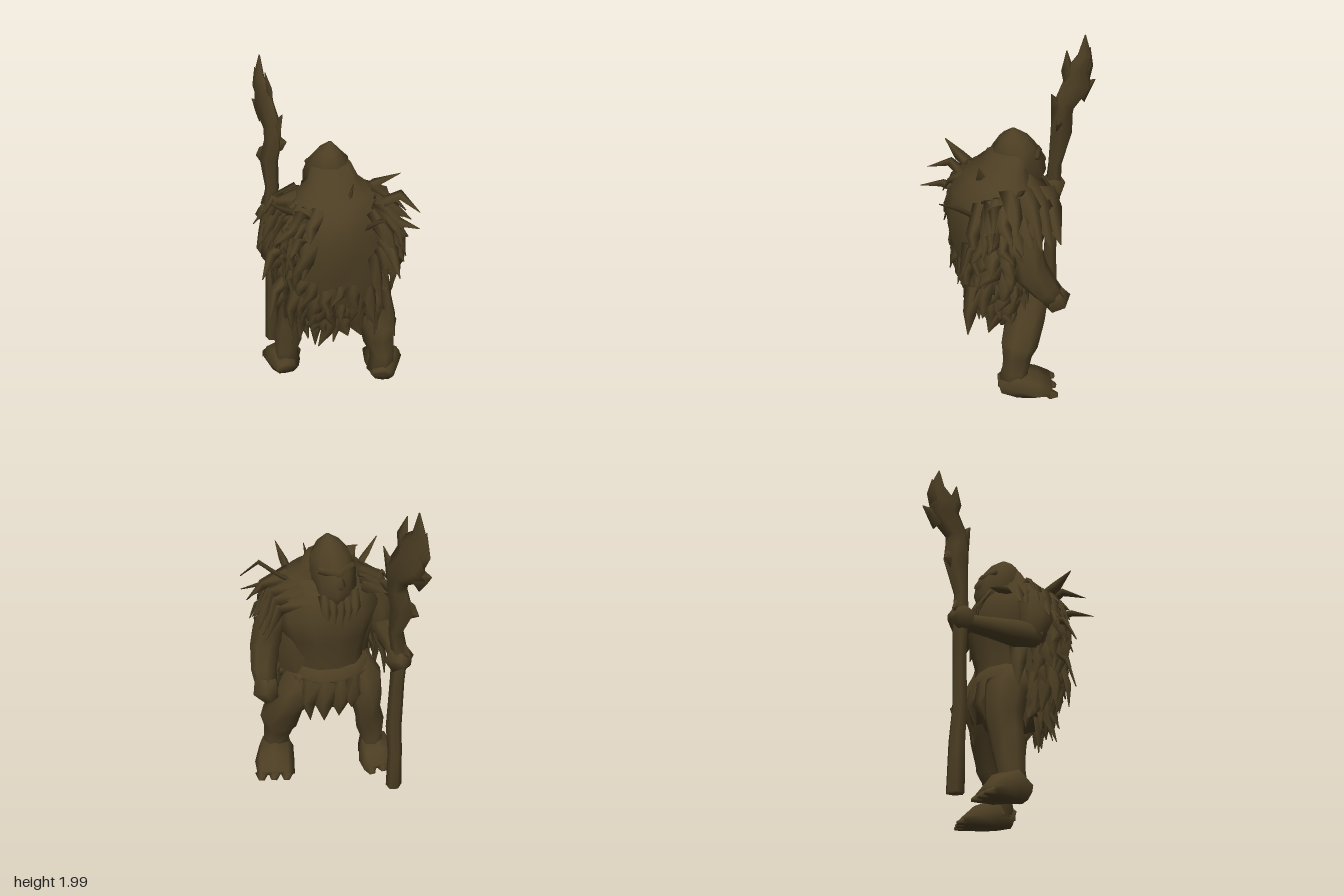
import * as THREE from 'three';

const hide = new THREE.MeshStandardMaterial({ color: 0x4c3e23, side: THREE.DoubleSide });
hide.name = 'dark brown hide';

let seed = 7;
const rnd = () => (seed = (seed * 16807) % 2147483647) / 2147483647;
const V = (x, y, z) => new THREE.Vector3(x, y, z);

// The figure is turned 45 degrees: l runs to its left, b to its back
const S = Math.SQRT1_2;
const W = (l, y, b, ...radii) => [(l + b) * S, y, (b - l) * S, ...radii];
const LEFT = V(S, 0, -S), BACK = V(S, 0, S), UP = V(0, 1, 0);
const outward = a => LEFT.clone().multiplyScalar(Math.cos(a)).addScaledVector(BACK, Math.sin(a));

// Lofted limb through [x, y, z, radiusU, radiusV] sections; level rings stay horizontal
function limb(name, pts, { sides = 8, ref = V(0, 0, 1), rough = 0.18, level = false } = {}) {
  const pos = [], idx = [];
  const P = pts.map(p => V(p[0], p[1], p[2]));
  const put = v => pos.push(v.x, Math.max(0.01, v.y), v.z);
  pts.forEach((p, i) => {
    const t = P[Math.min(i + 1, P.length - 1)].clone().sub(P[Math.max(i - 1, 0)]).normalize();
    const u = level ? LEFT : t.clone().cross(ref).normalize();
    const v = level ? BACK : u.clone().cross(t);
    for (let j = 0; j < sides; j++) {
      const a = j / sides * Math.PI * 2, k = 1 + (rnd() - 0.5) * rough;
      put(P[i].clone().addScaledVector(u, Math.cos(a) * p[3] * k)
        .addScaledVector(v, Math.sin(a) * (p[4] ?? p[3]) * k));
    }
  });
  const n = pts.length, first = n * sides, last = first + 1;
  put(P[0]);
  put(P[n - 1]);
  for (let j = 0; j < sides; j++) {
    const k = (j + 1) % sides;
    for (let i = 0; i < n - 1; i++) {
      const a = i * sides + j, b = i * sides + k;
      idx.push(a, a + sides, b, b, a + sides, b + sides);
    }
    idx.push(first, j, k, last, (n - 1) * sides + k, (n - 1) * sides + j);
  }
  const g = new THREE.BufferGeometry();
  g.setAttribute('position', new THREE.Float32BufferAttribute(pos, 3));
  g.setIndex(idx);
  g.computeVertexNormals();
  const m = new THREE.Mesh(g, hide);
  m.name = name;
  return m;
}

// Bent flat spike from base to tip
function shard(name, base, mid, tip, width, ref) {
  return limb(name, [[...base, width, width * 0.35], [...mid, width * 0.8, width * 0.3], [...tip, 0.003, 0.003]],
    { sides: 4, ref, rough: 0.3 });
}

export function createModel() {
  const model = new THREE.Group();
  model.name = 'cloakedBrute';

  // Body and head
  model.add(limb('torso', [
    W(0.11, 0.52, 0.03, 0.13, 0.12), W(0.11, 0.62, 0.03, 0.2, 0.17), W(0.1, 0.75, 0.02, 0.22, 0.19),
    W(0.1, 0.9, 0.03, 0.23, 0.19), W(0.1, 1.05, 0.02, 0.27, 0.22), W(0.1, 1.2, 0.03, 0.31, 0.23),
    W(0.1, 1.32, 0.05, 0.28, 0.2), W(0.1, 1.41, 0.05, 0.17, 0.14)], { sides: 12, rough: 0.16, level: true }));
  model.add(limb('head', [
    W(0.09, 1.27, -0.1, 0.07, 0.07), W(0.09, 1.36, -0.05, 0.13, 0.14), W(0.09, 1.46, -0.02, 0.13, 0.15),
    W(0.09, 1.55, -0.01, 0.115, 0.125), W(0.09, 1.61, 0, 0.07, 0.075), W(0.1, 1.66, 0.005, 0.01, 0.01)],
  { sides: 9, level: true }));
  model.add(limb('brow', [W(0.19, 1.5, -0.1, 0.02), W(0.09, 1.48, -0.15, 0.03), W(-0.01, 1.5, -0.1, 0.02)], { sides: 5, ref: UP }));
  model.add(limb('nose', [W(0.09, 1.48, -0.15, 0.02), W(0.09, 1.42, -0.18, 0.03), W(0.09, 1.39, -0.15, 0.02)], { sides: 5, ref: BACK }));
  for (let i = -2; i <= 2; i++) {
    model.add(shard('beardLock', W(0.09 + i * 0.045, 1.36, -0.14), W(0.09 + i * 0.045, 1.27, -0.19),
      W(0.09 + i * 0.04, 1.16 + 0.03 * Math.abs(i), -0.2), 0.035, BACK));
  }

  // Hide cloak over the hunched back, rising to a hood at the nape
  const shell = [
    [0.1, 0.57, 0.11, 0.25, 0.17], [0.1, 0.7, 0.12, 0.29, 0.21], [0.1, 0.88, 0.13, 0.32, 0.235],
    [0.1, 1.04, 0.13, 0.34, 0.245], [0.1, 1.2, 0.13, 0.345, 0.245], [0.1, 1.32, 0.12, 0.3, 0.225],
    [0.1, 1.4, 0.1, 0.22, 0.17], [0.1, 1.46, 0.06, 0.145, 0.12], [0.1, 1.54, 0.03, 0.11, 0.1]];
  model.add(limb('cloak', shell.map(s => W(...s)), { sides: 16, rough: 0.14, level: true }));
  const onCloak = (y, a, k) => {
    let i = 0;
    while (i < shell.length - 2 && shell[i + 1][1] < y) i++;
    const s = shell[i], e = shell[i + 1];
    const f = THREE.MathUtils.clamp((y - s[1]) / (e[1] - s[1]), 0, 1);
    const c = s.map((q, n) => q + (e[n] - q) * f);
    return W(c[0] + Math.cos(a) * c[3] * k, y, c[2] + Math.sin(a) * c[4] * k);
  };
  // Fur tufts: thick along both sides and the hem, bare in the middle of the back
  [0.68, 0.78, 0.88, 1.0, 1.12, 1.24, 1.36].forEach((y0, row) => {
    for (let i = 0; i < 20; i++) {
      const a = -0.3 + (i + rnd() * 0.7) / 20 * 3.75;
      if (row > 2 && Math.abs(Math.cos(a)) < 0.55) continue;
      const y = y0 + (rnd() - 0.5) * 0.08, len = 0.12 + rnd() * 0.14;
      const flare = a > 0.1 && a < 1 ? 0.12 : 0;
      const base = onCloak(y, a, 0.95), mid = onCloak(y - len * 0.5, a, 1.07 + flare);
      const tip = onCloak(y - len, a + (rnd() - 0.5) * 0.4, 1.06 + rnd() * 0.18 + flare);
      model.add(shard('furTuft', base, mid, tip, 0.03 + rnd() * 0.035, outward(a)));
    }
  });
  // Long hem tatters
  [[0.1, 0.36, 0.14], [0.02, 0.46, 0.18], [0.2, 0.47, 0.16], [-0.1, 0.53, 0.18], [0.3, 0.5, 0.08],
    [0.58, 0.54, 0.02], [0.46, 0.62, 0.06], [0.52, 0.64, -0.05], [0.5, 0.78, 0.06], [-0.22, 0.66, 0.12],
    [0.38, 0.55, -0.02], [0.05, 0.6, 0.34], [-0.08, 0.56, 0.3], [0.16, 0.53, 0.22]].forEach(([x, y, z]) => {
    const bx = 0.13 + (x - 0.13) * 0.82;
    model.add(shard('hemTatter', [bx, y + 0.3, z * 0.85], [x * 0.95, y + 0.14, z], [x, y, z], 0.055, V(x - 0.12, 0, z + 0.01)));
  });
  // Shaggy shoulder pads
  for (const s of [-1, 1]) for (let i = 0; i < 5; i++) {
    const b = -0.08 + i * 0.06, y = 1.38 - Math.abs(i - 2) * 0.02;
    model.add(shard('shoulderPad', W(0.1 + s * 0.17, y, b), W(0.1 + s * 0.32, y - 0.05, b),
      W(0.1 + s * (0.39 + rnd() * 0.06), y - 0.2 - rnd() * 0.08, b - 0.02), 0.085, V(s * S * 0.6, 0.8, -s * S * 0.6)));
  }

  // Curved quills on the shoulders and back: base, bend, tip
  [[[0.34, 1.3, -0.08], [0.5, 1.41, -0.12], [0.61, 1.31, -0.16]],
    [[0.38, 1.27, -0.05], [0.5, 1.25, -0.1], [0.62, 1.21, -0.15]],
    [[0.24, 1.33, -0.12], [0.3, 1.4, -0.2], [0.44, 1.48, -0.24]],
    [[0.22, 1.36, 0.0], [0.27, 1.41, 0.05], [0.29, 1.5, 0.05]],
    [[0.36, 1.22, 0.03], [0.46, 1.33, 0.1], [0.55, 1.4, 0.17]],
    [[0.08, 1.28, 0.2], [0.11, 1.39, 0.31], [0.12, 1.33, 0.45]],
    [[0.1, 1.2, 0.25], [0.12, 1.24, 0.36], [0.15, 1.21, 0.49]],
    [[0.02, 1.3, 0.17], [0.0, 1.37, 0.3], [-0.03, 1.45, 0.4]],
    [[-0.02, 1.15, 0.24], [-0.06, 1.1, 0.36], [-0.08, 0.96, 0.43]],
    [[-0.1, 1.3, 0.12], [-0.16, 1.35, 0.18], [-0.2, 1.26, 0.22]],
    [[0.42, 1.18, -0.02], [0.53, 1.12, 0.01], [0.6, 0.97, 0.04]],
    [[0.43, 0.95, -0.04], [0.5, 0.82, 0.0], [0.55, 0.7, 0.02]],
    [[0.0, 0.95, 0.25], [-0.04, 0.85, 0.36], [-0.05, 0.68, 0.41]]
  ].forEach(([b, m, t]) => model.add(shard('quill', b, m, t, 0.045, V(0.2, 0.9, 0.4))));

  // Skirt and loincloth
  model.add(limb('skirt', [
    W(0.1, 0.58, 0.02, 0.25, 0.21), W(0.1, 0.7, 0.02, 0.25, 0.21), W(0.1, 0.84, 0.02, 0.235, 0.195)],
  { sides: 12, level: true }));
  for (let i = 0; i < 9; i++) {
    const a = Math.PI * (0.98 + i * 0.13), c = Math.cos(a), s = Math.sin(a);
    model.add(shard('loinclothFlap', W(0.1 + c * 0.23, 0.76, 0.02 + s * 0.19), W(0.1 + c * 0.26, 0.62, 0.02 + s * 0.22),
      W(0.1 + c * 0.23, 0.43 + rnd() * 0.12, 0.02 + s * 0.19), 0.08, outward(a)));
  }

  // Arms
  model.add(limb('leftArm', [
    W(0.32, 1.32, 0.06, 0.08, 0.08), W(0.39, 1.2, 0.08, 0.1, 0.11), W(0.44, 1.07, 0.09, 0.095, 0.11),
    W(0.48, 0.95, 0.07, 0.095, 0.105), W(0.52, 0.84, -0.01, 0.085, 0.075), W(0.52, 0.76, -0.06, 0.07)]));
  model.add(limb('leftHand', [
    W(0.52, 0.8, -0.05, 0.07), W(0.53, 0.74, -0.08, 0.09, 0.075), W(0.5, 0.68, -0.1, 0.05)], { sides: 6 }));
  model.add(limb('rightUpperArm', [
    W(-0.12, 1.32, 0.06, 0.08), W(-0.2, 1.2, 0.06, 0.1), W(-0.23, 1.08, 0.05, 0.1), W(-0.24, 0.96, 0.01, 0.08)]));
  model.add(limb('rightForearm', [
    W(-0.24, 0.98, 0.05, 0.07), W(-0.25, 0.97, -0.08, 0.08), W(-0.22, 0.99, -0.24, 0.065), W(-0.19, 1.01, -0.37, 0.05)], { ref: UP }));
  model.add(limb('rightHand', [W(-0.2, 1.01, -0.34, 0.06), W(-0.18, 1.02, -0.41, 0.085), W(-0.2, 1.04, -0.46, 0.05)], { sides: 6, ref: UP }));

  // Legs and feet
  model.add(limb('rightLeg', [
    [0.0, 0.76, 0.02, 0.14, 0.14], [-0.1, 0.64, 0.02, 0.14, 0.13], [-0.15, 0.5, 0.02, 0.1, 0.11],
    [-0.145, 0.4, 0.03, 0.085, 0.1], [-0.16, 0.29, 0.045, 0.095, 0.09], [-0.165, 0.18, 0.06, 0.075], [-0.17, 0.06, 0.06, 0.1]]));
  model.add(limb('leftLeg', [
    [0.18, 0.76, -0.12, 0.14, 0.14], [0.23, 0.62, -0.2, 0.13, 0.15], [0.28, 0.5, -0.22, 0.1, 0.12],
    [0.36, 0.37, -0.22, 0.125, 0.12], [0.37, 0.29, -0.21, 0.1, 0.095], [0.4, 0.19, -0.21, 0.08, 0.085], [0.4, 0.06, -0.2, 0.1]]));
  const foot = (side, heel, toe) => {
    const at = (k, y, w, h) => [heel[0] + (toe[0] - heel[0]) * k, y, heel[1] + (toe[1] - heel[1]) * k, w, h];
    model.add(limb(side + 'Foot', [
      at(0, 0.06, 0.07, 0.06), at(0.3, 0.09, 0.11, 0.11), at(0.65, 0.06, 0.13, 0.085), at(0.92, 0.03, 0.12, 0.04)], { ref: UP }));
    const dx = toe[0] - heel[0], dz = toe[1] - heel[1], l = Math.hypot(dx, dz);
    for (const o of [-0.08, 0, 0.08]) {
      const p = at(0.88, 0.03, 0.045, 0.035), q = at(1.04, 0.015, 0.02, 0.015);
      for (const r of [p, q]) { r[0] -= dz / l * o; r[2] += dx / l * o; }
      model.add(limb(side + 'Toe', [p, q], { sides: 5, ref: UP }));
    }
  };
  foot('right', [-0.12, 0.13], [-0.31, -0.06]);
  foot('left', [0.45, -0.13], [0.3, -0.43]);

  // Gnarled staff, flattening into a forked head
  const flat = V(-0.5, 0, 0.85);
  model.add(limb('staff', [
    [-0.415, 0.02, -0.16, 0.05], [-0.415, 0.3, -0.16, 0.045], [-0.4, 0.5, -0.155, 0.045], [-0.41, 0.85, -0.16, 0.042],
    [-0.42, 1.05, -0.16, 0.05], [-0.395, 1.2, -0.17, 0.045], [-0.43, 1.38, -0.19, 0.085, 0.05], [-0.4, 1.5, -0.2, 0.08, 0.05],
    [-0.41, 1.6, -0.21, 0.09, 0.045], [-0.5, 1.7, -0.26, 0.125, 0.045], [-0.49, 1.79, -0.25, 0.1, 0.04],
    [-0.54, 1.87, -0.28, 0.055, 0.03], [-0.53, 2.0, -0.28, 0.004]], { sides: 6, ref: flat }));
  [[[-0.38, 1.5, -0.19], [-0.35, 1.62, -0.18], [-0.3, 1.71, -0.16]],
    [[-0.45, 1.7, -0.24], [-0.42, 1.83, -0.21], [-0.44, 1.93, -0.2]],
    [[-0.52, 1.62, -0.27], [-0.58, 1.67, -0.3], [-0.63, 1.69, -0.33]],
    [[-0.53, 1.74, -0.28], [-0.57, 1.8, -0.29], [-0.58, 1.91, -0.3]],
    [[-0.4, 1.48, -0.2], [-0.34, 1.51, -0.2], [-0.3, 1.52, -0.2]],
    [[-0.43, 1.4, -0.2], [-0.5, 1.38, -0.21], [-0.54, 1.37, -0.22]],
    [[-0.42, 1.08, -0.16], [-0.46, 1.08, -0.17], [-0.49, 1.06, -0.18]]
  ].forEach(([b, m, t]) => model.add(shard('staffSplinter', b, m, t, 0.06, flat)));

  return model;
}
